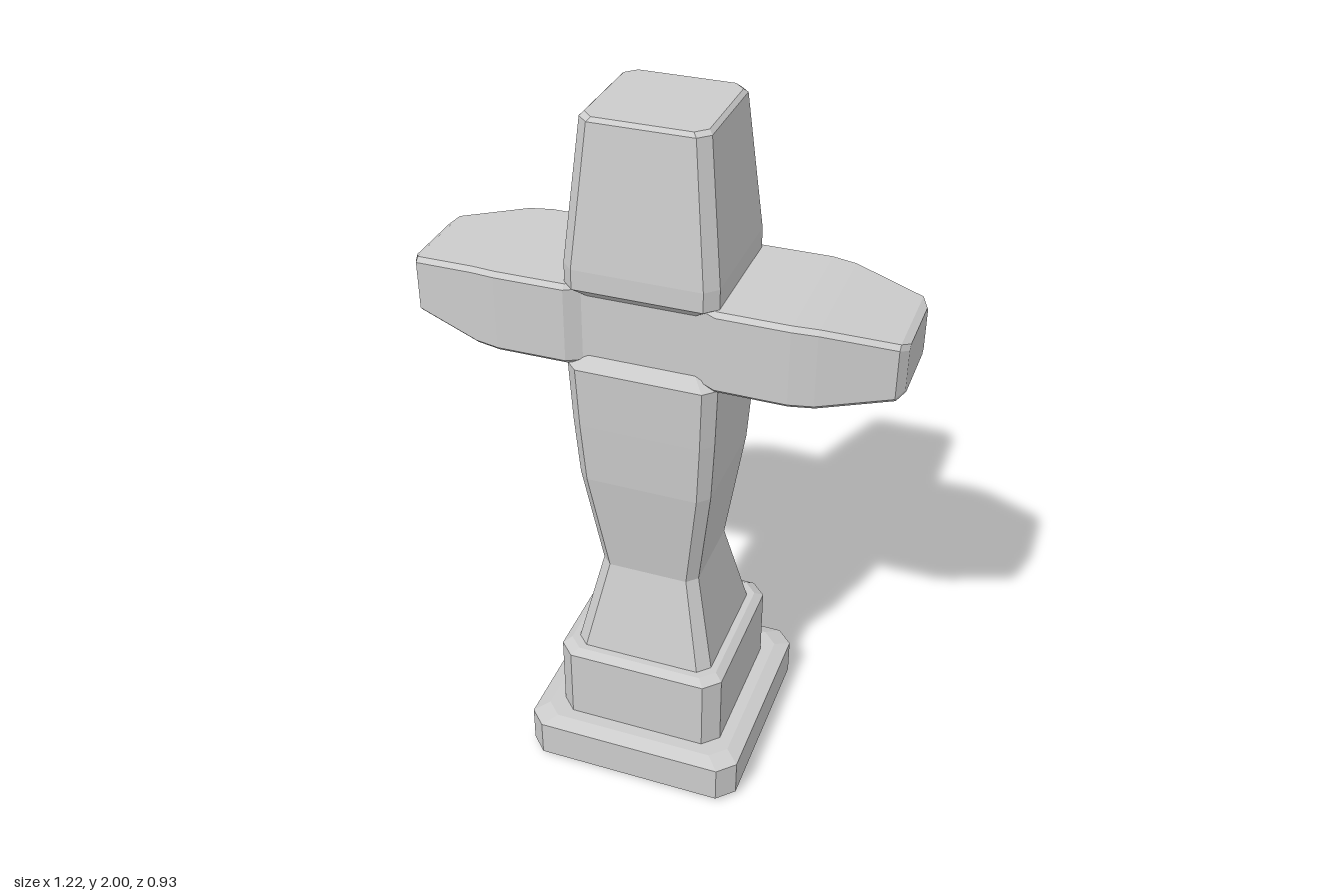
import * as THREE from 'three';

const material = new THREE.MeshStandardMaterial({ color: 0xcccccc, flatShading: true });

// Rectangle with cut corners, counter-clockwise, half sizes a and b
function cutRect(a, b, c) {
  return [[a, -b + c], [a, b - c], [a - c, b], [-a + c, b],
    [-a, b - c], [-a, -b + c], [-a + c, -b], [a - c, -b]];
}

// Skin 8-sided rings and close both ends
function loft(name, rings) {
  const n = rings[0].length, pos = rings.flat(2), idx = [];
  for (let i = 0; i < rings.length - 1; i++) {
    for (let j = 0; j < n; j++) {
      const a = i * n + j, b = i * n + (j + 1) % n;
      idx.push(a, b, b + n, a, b + n, a + n);
    }
  }
  const last = (rings.length - 1) * n;
  for (let j = 1; j < n - 1; j++) {
    idx.push(0, j + 1, j, last, last + j, last + j + 1);
  }
  const geo = new THREE.BufferGeometry();
  geo.setAttribute('position', new THREE.Float32BufferAttribute(pos, 3));
  geo.setIndex(idx);
  const flat = geo.toNonIndexed();
  flat.computeVertexNormals();
  const mesh = new THREE.Mesh(flat, material);
  mesh.name = name;
  return mesh;
}

// Square upright block from [y, half width, corner cut] levels
const upright = (name, levels) => loft(name, levels.map(([y, h, c]) =>
  cutRect(h, h, c).map(([p, q]) => [p, y, -q])));

export function createModel() {
  const model = new THREE.Group();
  model.name = 'cross';

  // Stepped pedestal
  model.add(upright('baseSlab', [
    [0, 0.305, 0.045], [0.013, 0.32, 0.047], [0.125, 0.32, 0.047], [0.14, 0.28, 0.043]]));
  model.add(upright('plinth', [
    [0.13, 0.245, 0.043], [0.362, 0.245, 0.043], [0.377, 0.222, 0.038]]));

  // Waisted shaft, bevelled inward where it meets the arms
  model.add(upright('shaft', [
    [0.37, 0.204, 0.033], [0.65, 0.142, 0.028], [0.97, 0.186, 0.03],
    [1.15, 0.197, 0.031], [1.325, 0.204, 0.032], [1.36, 0.172, 0.03]]));
  model.add(upright('headBlock', [
    [1.53, 0.172, 0.03], [1.56, 0.204, 0.032], [1.615, 0.204, 0.032],
    [1.99, 0.165, 0.029], [2, 0.155, 0.028]]));

  // Cross arm: [distance from centre, half depth, half height]
  const half = [[0.16, 0.174, 0.115], [0.2, 0.196, 0.115], [0.39, 0.197, 0.115],
    [0.455, 0.187, 0.112], [0.642, 0.135, 0.08], [0.66, 0.103, 0.068]];
  const stations = [...half.map(([x, w, h]) => [-x, w, h]).reverse(), ...half];
  model.add(loft('crossArm', stations.map(([x, w, h]) =>
    cutRect(h, w, 0.012).map(([p, q]) => [x, 1.445 + p, q]))));

  // The whole piece stands turned on its vertical axis
  model.rotation.y = THREE.MathUtils.degToRad(33.3);
  return model;
}
